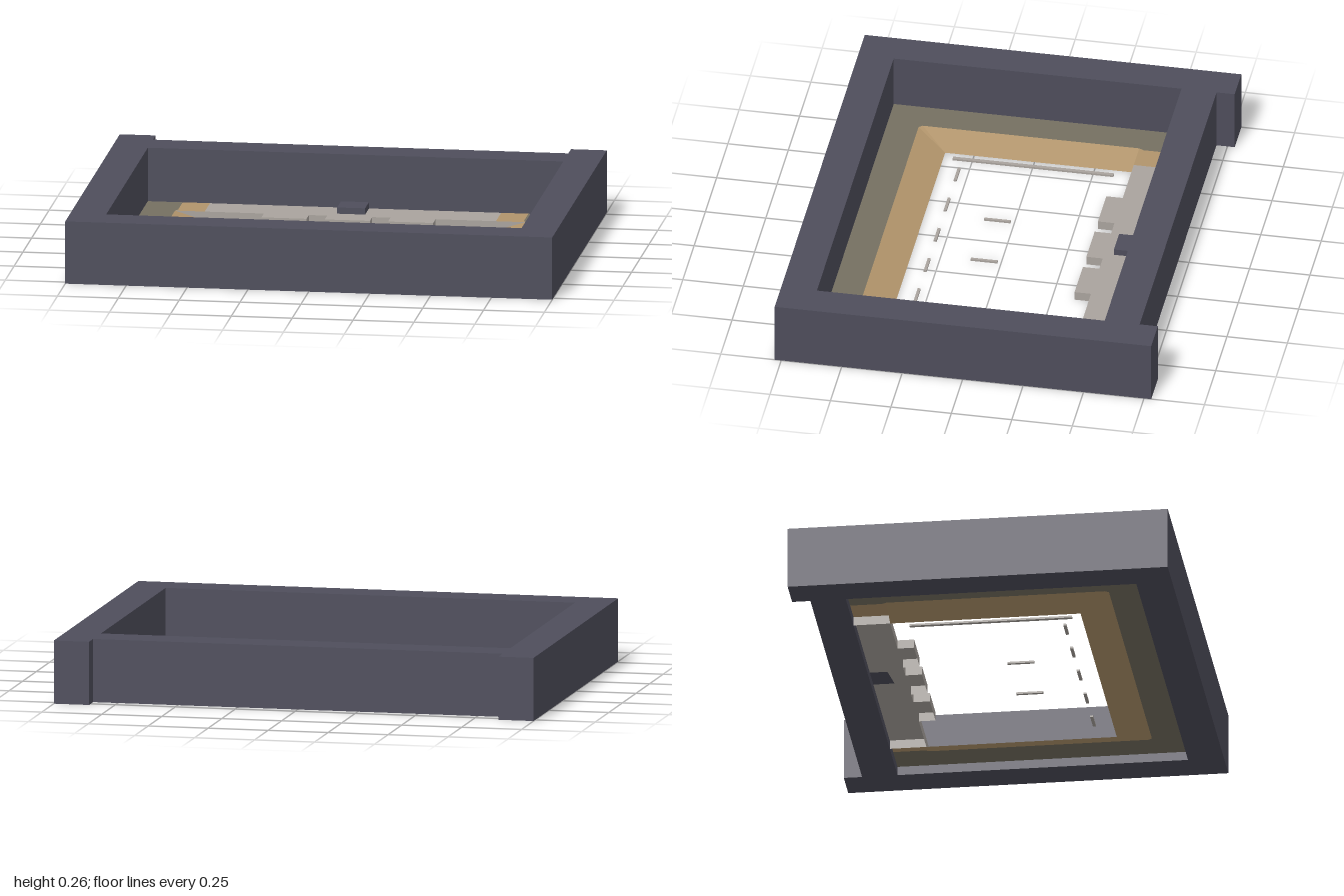
import * as THREE from 'three';

const material = (name, color, side = THREE.FrontSide) => {
  const m = new THREE.MeshStandardMaterial({ color, side });
  m.name = name;
  return m;
};

export function createModel() {
  const model = new THREE.Group();
  const slate = material('slate', 0x4e4d5b);
  const olive = material('olive ground', 0x757061, THREE.DoubleSide);
  const sand = material('sand', 0xb1946b, THREE.DoubleSide);
  const stone = material('stone', 0xa9a39d, THREE.DoubleSide);

  const add = (name, geometry, mat) => {
    const mesh = new THREE.Mesh(geometry, mat);
    mesh.name = name;
    model.add(mesh);
    return mesh;
  };
  // Box given by its lower and upper bounds
  const block = (name, mat, x0, x1, y0, y1, z0, z1) => {
    const g = new THREE.BoxGeometry(x1 - x0, y1 - y0, z1 - z0);
    g.translate((x0 + x1) / 2, (y0 + y1) / 2, (z0 + z1) / 2);
    return add(name, g, mat);
  };
  // Horizontal sheet from an outline of [x, z] points
  const sheet = (name, mat, points, y) => {
    const shape = new THREE.Shape(points.map(([x, z]) => new THREE.Vector2(x, -z)));
    return add(name, new THREE.ShapeGeometry(shape).rotateX(-Math.PI / 2).translate(0, y, 0), mat);
  };

  const H = 0.26, BANK = 0.037, BACK = -0.56, DOCK = -0.41;

  // Outer frame; the side walls run past the back wall
  for (const s of [-1, 1]) {
    block(s < 0 ? 'rightWall' : 'leftWall', slate,
      s < 0 ? -1 : 0.853, s < 0 ? -0.853 : 1, 0, H, -0.78, 0.777);
  }
  block('frontWall', slate, -0.853, 0.853, 0, H, 0.63, 0.777);
  block('backWall', slate, -0.853, 0.853, 0, H, -0.705, BACK);

  // Flat U-shaped ground inside the walls
  sheet('ground', olive, [
    [-0.853, BACK], [-0.853, 0.63], [0.853, 0.63], [0.853, BACK],
    [0.71, BACK], [0.71, -0.43], [0.72, DOCK], [0.72, 0.485], [0.708, 0.5],
    [-0.708, 0.5], [-0.72, 0.485], [-0.72, DOCK], [-0.71, -0.43], [-0.71, BACK],
  ], BANK);

  // Sand slope falling from the ground to the basin edge
  const outer = [[-0.72, DOCK], [-0.72, 0.485], [-0.708, 0.5], [0.708, 0.5], [0.72, 0.485], [0.72, DOCK]];
  const inner = [[-0.598, DOCK], [-0.598, 0.37], [-0.598, 0.37], [0.598, 0.37], [0.598, 0.37], [0.598, DOCK]];
  const positions = [], index = [];
  outer.forEach(([x, z], i) => {
    positions.push(x, BANK, z, inner[i][0], 0, inner[i][1]);
    if (i) {
      const a = 2 * i - 2;
      index.push(a, a + 2, a + 1, a + 1, a + 2, a + 3);
    }
  });
  const slope = new THREE.BufferGeometry();
  slope.setAttribute('position', new THREE.Float32BufferAttribute(positions, 3));
  slope.setIndex(index);
  const flatSlope = slope.toNonIndexed();
  flatSlope.computeVertexNormals();
  add('sandSlope', flatSlope, sand);

  // Level sand beside the platform, with a stone riser under its edge
  for (const s of [-1, 1]) {
    const pts = [[0.598, BACK], [0.71, BACK], [0.71, -0.43], [0.72, DOCK], [0.598, DOCK]];
    sheet('sandShoulder', sand, pts.map(([x, z]) => [s * x, z]), BANK);
    const riser = new THREE.Shape([
      new THREE.Vector2(s * 0.72, BANK), new THREE.Vector2(s * 0.598, BANK), new THREE.Vector2(s * 0.598, 0),
    ]);
    add('shoulderRiser', new THREE.ShapeGeometry(riser).translate(0, 0, DOCK), stone);
  }

  // Stone platform with three jetties, open underneath
  const half = 0.598, tip = -0.342;
  const edge = [[-half, BACK], [-half, DOCK]];
  for (const [a, b] of [[-0.355, -0.17], [-0.095, 0.09], [0.165, 0.35]]) {
    edge.push([a, DOCK], [a, tip], [b, tip], [b, DOCK]);
  }
  edge.push([half, DOCK], [half, BACK]);
  sheet('platformTop', stone, edge, BANK);
  const skirtPositions = [], skirtIndex = [];
  edge.forEach(([x, z], i) => {
    skirtPositions.push(x, BANK, z, x, 0, z);
    if (i) {
      const a = 2 * i - 2;
      skirtIndex.push(a, a + 1, a + 2, a + 1, a + 3, a + 2);
    }
  });
  const skirt = new THREE.BufferGeometry();
  skirt.setAttribute('position', new THREE.Float32BufferAttribute(skirtPositions, 3));
  skirt.setIndex(skirtIndex);
  const flatSkirt = skirt.toNonIndexed();
  flatSkirt.computeVertexNormals();
  add('platformSkirt', flatSkirt, stone);

  // Small block at the middle of the platform
  block('platformBlock', slate, -0.06, 0.055, BANK, 0.063, BACK, -0.45);

  // Basin markers
  const T = 0.008;
  block('longMarker', stone, -0.566, -0.55, 0, T, -0.335, 0.33);
  for (const x of [-0.15, 0.145]) block('centreMarker', stone, x - 0.006, x + 0.006, 0, T, 0.015, 0.125);
  for (let i = -2; i <= 2; i++) {
    const x = i * 0.222 - 0.003;
    block('frontMarker', stone, x - 0.045, x + 0.045, 0, T, 0.286, 0.298);
  }
  return model;
}
